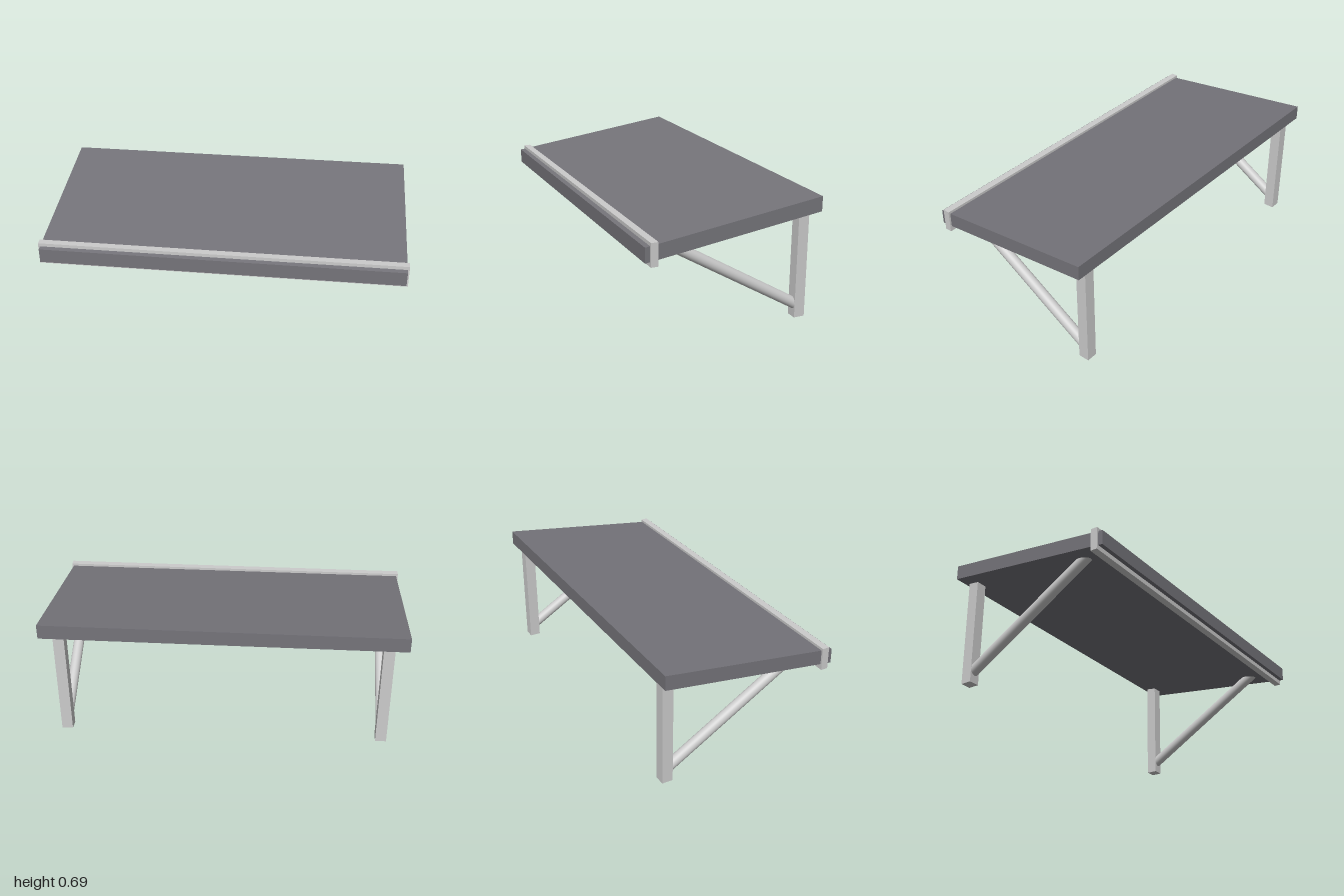
import * as THREE from 'three';

const light = new THREE.MeshStandardMaterial({ color: 0xcccccc });
const dark = new THREE.MeshStandardMaterial({ color: 0x75747a });

function add(parent, name, geometry, material, x = 0, y = 0, z = 0) {
  const mesh = new THREE.Mesh(geometry, material);
  mesh.name = name;
  mesh.position.set(x, y, z);
  parent.add(mesh);
  return mesh;
}

// Round bar between two points
function bar(parent, name, from, to, radius) {
  const dir = to.clone().sub(from);
  const mesh = add(parent, name, new THREE.CylinderGeometry(radius, radius, dir.length(), 32), light);
  mesh.position.copy(from).add(to).multiplyScalar(0.5);
  mesh.quaternion.setFromUnitVectors(new THREE.Vector3(0, 1, 0), dir.normalize());
}

export function createModel() {
  const model = new THREE.Group();
  model.name = 'slopedCanopy';

  // Sloping slab with upright ends: a box sheared along z
  const slab = new THREE.BoxGeometry(1.98, 0.081, 0.988);
  const pos = slab.attributes.position;
  for (let i = 0; i < pos.count; i++) pos.setY(i, pos.getY(i) - 0.126 * pos.getZ(i));
  slab.computeVertexNormals();
  add(model, 'roofSlab', slab, dark, 0, 0.586, 0.001);

  // Rail wrapped across the front edge
  add(model, 'frontRail', new THREE.BoxGeometry(2, 0.125, 0.039), light, 0, 0.524, 0.449);

  // Wall post and diagonal strut on each side; ends are buried in the joints
  for (const [side, x] of [['left', 0.886], ['right', -0.886]]) {
    const bracket = new THREE.Group();
    bracket.name = side + 'Bracket';
    bracket.position.x = x;
    add(bracket, 'post', new THREE.BoxGeometry(0.061, 0.62, 0.061), light, 0, 0.31, -0.436);
    bar(bracket, 'strut', new THREE.Vector3(0, 0.061, -0.435), new THREE.Vector3(0, 0.544, 0.36), 0.03);
    model.add(bracket);
  }
  return model;
}
